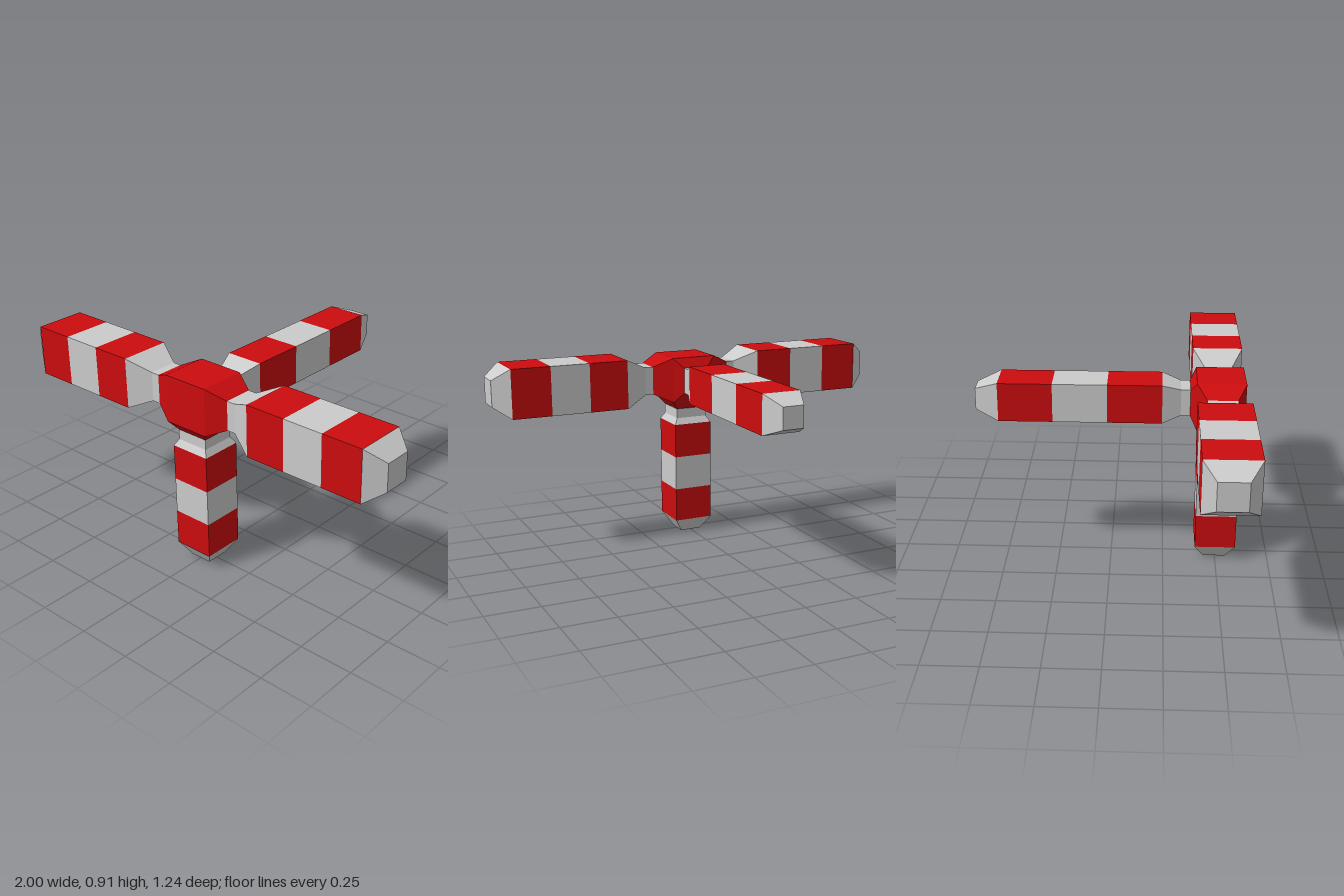
import * as THREE from 'three';

const grey = new THREE.MeshStandardMaterial({ color: 0xcccccc, flatShading: true });
const red = new THREE.MeshStandardMaterial({ color: 0xcc0c0e, flatShading: true });
const CORE = 0.11; // half width of the hub cube

// Square flat face at height d, facing +y
function face(name, half, d, material) {
  const geo = new THREE.PlaneGeometry(half * 2, half * 2).rotateX(-Math.PI / 2).translate(0, d, 0);
  const mesh = new THREE.Mesh(geo, material);
  mesh.name = name;
  return mesh;
}

// Open four-sided tube between two square cross-sections along +y
function section(name, [d0, half0], [d1, half1], material) {
  const geo = new THREE.CylinderGeometry(half1 * Math.SQRT2, half0 * Math.SQRT2, d1 - d0, 4, 1, true);
  geo.rotateY(Math.PI / 4).translate(0, (d0 + d1) / 2, 0);
  const mesh = new THREE.Mesh(geo, material);
  mesh.name = name;
  return mesh;
}

// Striped bar growing outward from the hub: socket, neck, shoulder, three bands, tip
function arm(name, rotation, rings) {
  const group = new THREE.Group();
  group.name = name;
  group.rotation.set(...rotation);
  const parts = [
    ['hubSocket', red], ['neck', grey], ['shoulder', grey],
    ['innerBand', red], ['middleBand', grey], ['outerBand', red], ['tip', grey],
  ];
  parts.forEach(([part, material], i) => group.add(section(part, rings[i], rings[i + 1], material)));
  const [end, half] = rings[rings.length - 1];
  group.add(face('endCap', half, end, grey));
  return group;
}

export function createModel() {
  const model = new THREE.Group();
  model.name = 'stripedBarrier';
  const joint = new THREE.Group(); // origin at the hub centre
  joint.name = 'joint';
  joint.position.set(0, 0.795, 0.4975);
  model.add(joint);

  // Flat hub faces where no arm is attached
  const front = face('hubFront', CORE, CORE, red);
  front.rotation.x = Math.PI / 2;
  joint.add(face('hubTop', CORE, CORE, red), front);

  // Two mirrored side arms
  const side = [[CORE, CORE], [0.2, 0.068], [0.24, 0.068], [0.35, 0.118],
    [0.54, 0.118], [0.73, 0.118], [0.92, 0.118], [1, 0.0625]];
  joint.add(arm('leftArm', [0, 0, -Math.PI / 2], side));
  joint.add(arm('rightArm', [0, 0, Math.PI / 2], side));

  // Leg reaching the ground
  joint.add(arm('leg', [Math.PI, 0, 0], [[CORE, CORE], [0.15, 0.078], [0.197, 0.078], [0.227, 0.096],
    [0.393, 0.096], [0.56, 0.096], [0.725, 0.096], [0.795, 0.052]]));

  // Long arm toward the back
  joint.add(arm('backArm', [-Math.PI / 2, 0, 0], [[CORE, CORE], [0.1375, 0.0625], [0.18, 0.0625], [0.2645, 0.091],
    [0.5135, 0.091], [0.7625, 0.091], [1.0105, 0.091], [1.1175, 0.05]]));

  return model;
}
